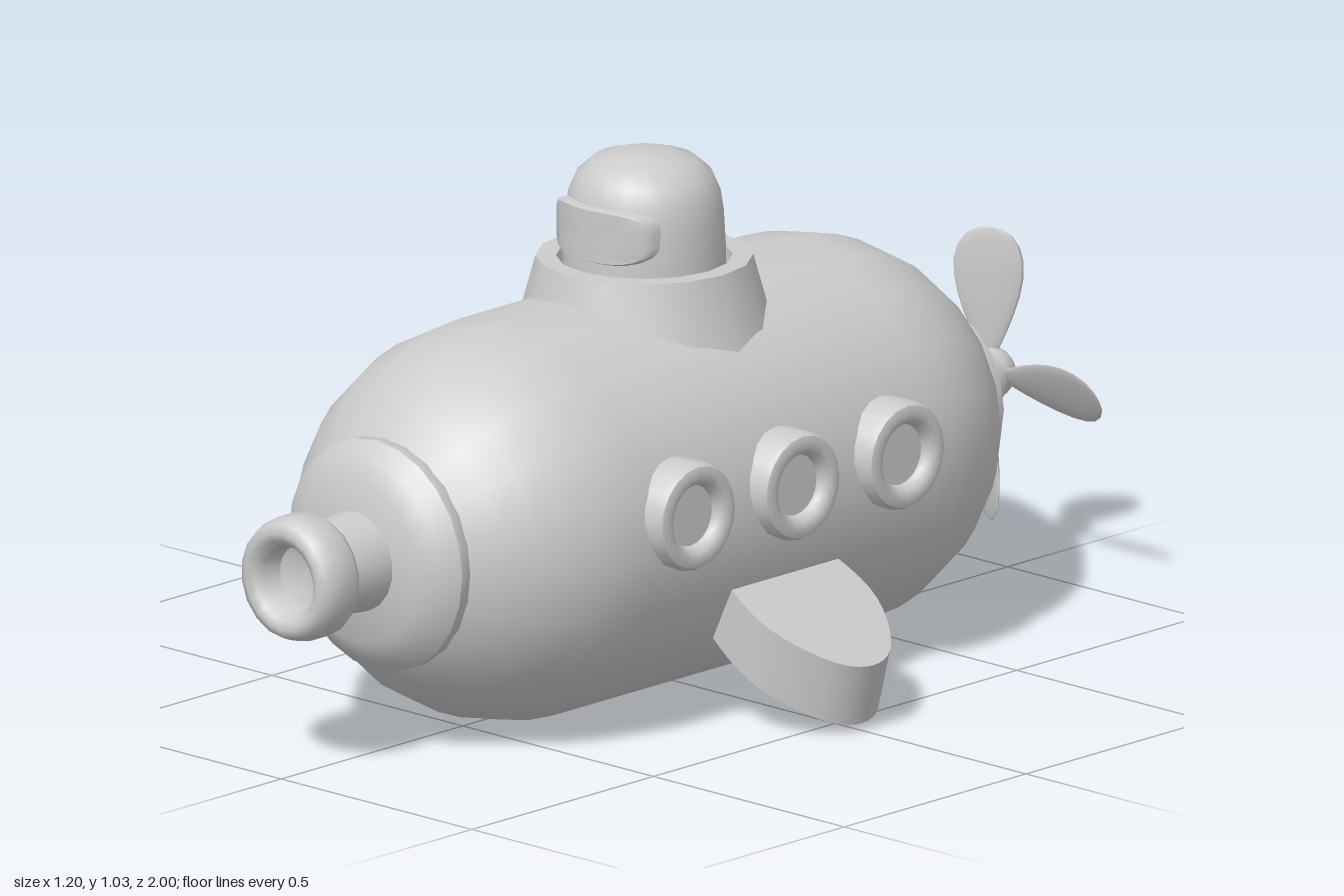
import * as THREE from 'three';
import { toCreasedNormals } from 'three/addons/utils/BufferGeometryUtils.js';

const material = new THREE.MeshStandardMaterial({ color: 0xcccccc });
const AXIS_Y = 0.393; // height of the hull's long axis

function part(name, geometry, parent) {
  const mesh = new THREE.Mesh(geometry, material);
  mesh.name = name;
  parent.add(mesh);
  return mesh;
}

// Turned part from [radius, height] pairs, bottom to top
function turned(profile, sides, crease = 0.7) {
  const points = profile.map(([r, h]) => new THREE.Vector2(r, h));
  return toCreasedNormals(new THREE.LatheGeometry(points, sides), crease);
}

// Turned part lying along the hull axis
const turnedAlongZ = (profile, sides, crease) =>
  turned(profile, sides, crease).rotateX(Math.PI / 2).translate(0, AXIS_Y, 0);

// Move every vertex by a rule
function deform(geometry, rule) {
  const pos = geometry.attributes.position;
  const v = new THREE.Vector3();
  for (let i = 0; i < pos.count; i++) {
    rule(v.fromBufferAttribute(pos, i));
    pos.setXYZ(i, v.x, v.y, v.z);
  }
  geometry.computeVertexNormals();
  return geometry;
}

// Cylinder with elliptical ends
function hullProfile() {
  const profile = [];
  const steps = 10, radius = 0.388;
  for (let i = 0; i <= steps; i++) {
    const a = (i / steps) * Math.PI / 2;
    profile.push([radius * Math.sin(a), -0.4 - 0.417 * Math.cos(a)]);
  }
  for (let i = 0; i <= steps; i++) {
    const a = (i / steps) * Math.PI / 2;
    profile.push([radius * Math.cos(a), 0.38 + 0.415 * Math.sin(a)]);
  }
  return profile;
}

// Leaf-shaped slab, sloping down and outwards on the +x side
function finGeometry() {
  const half = [[0, 0.125], [0.12, 0.15], [0.2, 0.152], [0.27, 0.127], [0.33, 0.085], [0.36, 0.045], [0.37, 0]];
  const mirrored = half.slice(0, -1).reverse().map(([u, w]) => [u, -w]);
  const outline = new THREE.SplineCurve([...half, ...mirrored].map(([u, w]) => new THREE.Vector2(u, w)));
  const slab = new THREE.ExtrudeGeometry(new THREE.Shape(outline.getPoints(32)), {
    depth: 0.12, bevelEnabled: false,
  }).rotateX(Math.PI / 2);
  deform(slab, (v) => { v.x -= v.y * 0.28; }); // raked tip
  return toCreasedNormals(slab.rotateZ(-Math.PI / 6).translate(0.28, 0.325, 0), 0.7);
}

// Rounded-rectangle pane wrapped around the cabin
function windowGeometry() {
  const profile = [[1, -0.05], [1, -0.006], [0.95, 0], [0.7, 0], [0.4, 0], [0, 0]];
  const pane = new THREE.LatheGeometry(profile.map(([r, h]) => new THREE.Vector2(r, h)), 40).rotateX(Math.PI / 2);
  deform(pane, (v) => {
    const r = Math.hypot(v.x, v.y) || 1;
    const c = v.x / r, s = v.y / r;
    const k = r / Math.pow(c ** 4 + s ** 4 || 1, 0.25);
    v.x = 0.124 * c * k;
    v.y = 0.905 - 0.053 * s * k * -1;
    v.z += 0.035 + Math.sqrt(0.13 ** 2 - (v.x * 0.85) ** 2);
  });
  return toCreasedNormals(pane, 0.7);
}

// Spoon-shaped blade pointing up, pitched about its own length
function bladeGeometry() {
  const blade = new THREE.SphereGeometry(1, 16, 12);
  deform(blade, (v) => {
    v.x *= 0.085 * (0.72 + 0.42 * v.y);
    v.y = 0.155 + 0.135 * v.y;
    v.z *= 0.009;
  });
  return blade.rotateY(Math.PI / 6);
}

export function createModel() {
  const model = new THREE.Group();
  model.name = 'submarine';

  // Hull and end collars
  part('hull', turnedAlongZ(hullProfile(), 20), model);
  part('frontCollar', turnedAlongZ(
    [[0.2, 0.68], [0.226, 0.715], [0.227, 0.74], [0.2, 0.77], [0.16, 0.795], [0, 0.797]], 24), model);
  part('rearCollar', turnedAlongZ(
    [[0, -0.826], [0.12, -0.825], [0.178, -0.803], [0.18, -0.775], [0.16, -0.74]], 20), model);

  // Hollow nozzle at the bow
  part('nozzle', turnedAlongZ([
    [0.1, 0.77], [0.09, 0.89], [0.112, 0.902], [0.122, 0.918], [0.122, 0.965], [0.112, 0.992],
    [0.095, 1], [0.078, 0.993], [0.066, 0.975], [0.06, 0.94], [0, 0.915],
  ], 18, 0.9), model);

  // Conning tower
  const tower = new THREE.Group();
  tower.name = 'tower';
  model.add(tower);
  part('towerBase', turned(
    [[0.255, 0.66], [0.235, 0.73], [0.207, 0.832], [0.168, 0.832], [0.16, 0.785], [0.1, 0.785]], 16), tower);
  part('cabin', turned([
    [0.155, 0.77], [0.155, 0.85], [0.151, 0.92], [0.145, 0.96], [0.13, 0.995], [0.1, 1.022],
    [0.055, 1.036], [0, 1.04],
  ], 24), tower);
  part('cabinWindow', windowGeometry(), tower);

  // Portholes and fin on each side
  const porthole = turned([
    [0.106, 0.28], [0.106, 0.405], [0.1, 0.416], [0.085, 0.421], [0.07, 0.416], [0.062, 0.405],
    [0.06, 0.394], [0, 0.394],
  ], 20).rotateZ(-Math.PI / 2).translate(0, 0.455, 0);
  const fin = finGeometry();
  for (const side of ['left', 'right']) {
    const group = new THREE.Group();
    group.name = side + 'Side';
    group.rotation.y = side === 'left' ? 0 : Math.PI;
    model.add(group);
    for (const z of [-0.288, 0, 0.288]) part('porthole', porthole, group).position.z = z;
    part('fin', fin, group);
  }

  // Propeller at the stern
  part('propellerShaft', turnedAlongZ([[0, -0.93], [0.062, -0.93], [0.066, -0.8]], 16), model);
  const propeller = new THREE.Group();
  propeller.name = 'propeller';
  propeller.position.set(0, 0.4, -0.948);
  model.add(propeller);
  part('hub', new THREE.SphereGeometry(0.052, 16, 12), propeller);
  const blade = bladeGeometry();
  for (let i = 0; i < 4; i++) part('blade', blade, propeller).rotation.z = (i * Math.PI) / 2;

  return model;
}
